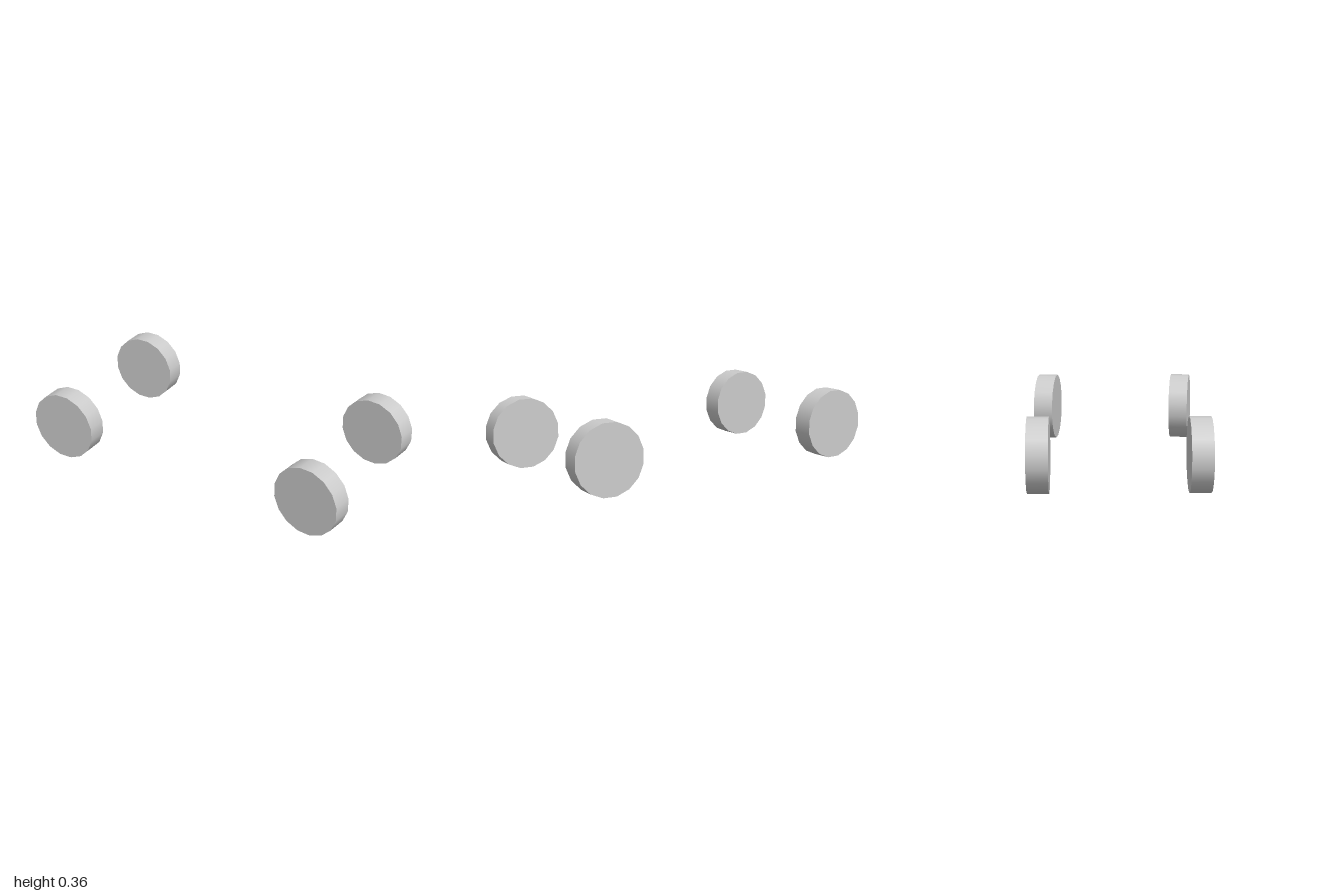
import * as THREE from 'three';

export function createModel() {
  const model = new THREE.Group();
  const material = new THREE.MeshStandardMaterial({ color: 0xcccccc });

  // Sixteen-sided disc, axis along z, resting on a flat side
  const sides = 16, height = 0.36, thickness = 0.105;
  const radius = height / 2 / Math.cos(Math.PI / sides);
  const disc = new THREE.CylinderGeometry(radius, radius, thickness, sides);
  disc.rotateY(Math.PI / sides).rotateX(Math.PI / 2);

  // The whole set of wheels is turned on the ground
  const wheelSet = new THREE.Group();
  wheelSet.name = 'wheelSet';
  wheelSet.rotation.y = -THREE.MathUtils.degToRad(26.6);
  model.add(wheelSet);

  // Two axles; the one on the +x end is steered
  const axles = [
    { name: 'fixedWheel', x: -0.721, steer: 0 },
    { name: 'steeredWheel', x: 0.721, steer: 7.5 },
  ];
  for (const { name, x, steer } of axles) {
    for (const side of [-1, 1]) {
      const wheel = new THREE.Mesh(disc, material);
      wheel.name = name + (side > 0 ? 'Near' : 'Far');
      wheel.position.set(x, height / 2, side * 0.385);
      wheel.rotation.y = -THREE.MathUtils.degToRad(steer);
      wheelSet.add(wheel);
    }
  }
  return model;
}
